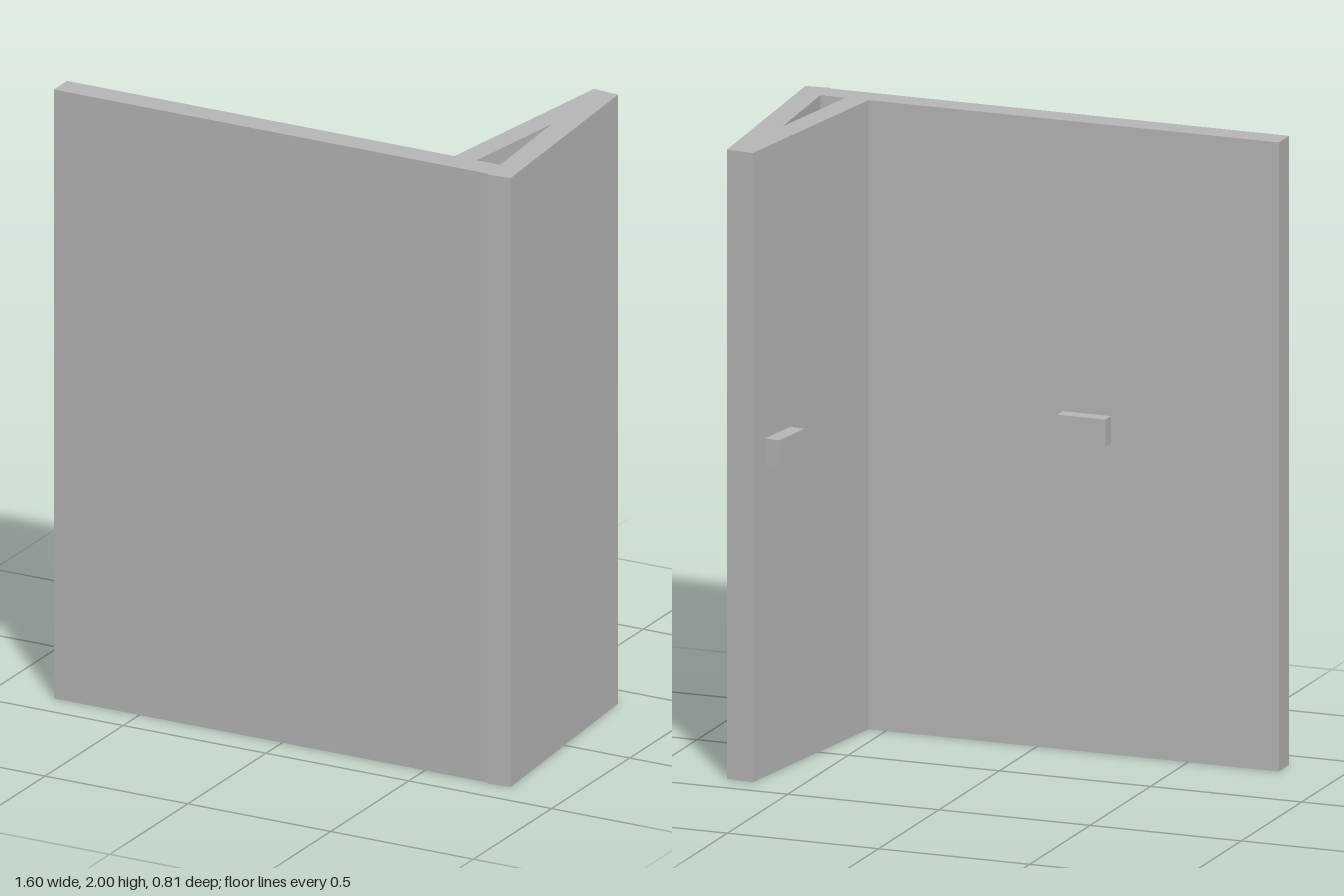
import * as THREE from 'three';

const grey = new THREE.MeshStandardMaterial({ color: 0xb8b8b8 });

// Plan points are [x, z]; the shape is drawn in x, -z and stood upright.
const toPlan = (points) => points.map(([x, z]) => new THREE.Vector2(x, -z));

function upright(name, plan, bottom, top, hole) {
  const shape = new THREE.Shape(toPlan(plan));
  if (hole) shape.holes.push(new THREE.Path(toPlan(hole)));
  const geometry = new THREE.ExtrudeGeometry(shape, { depth: top - bottom, bevelEnabled: false });
  geometry.rotateX(-Math.PI / 2).translate(0, bottom, 0);
  const mesh = new THREE.Mesh(geometry, grey);
  mesh.name = name;
  return mesh;
}

export function createModel() {
  const model = new THREE.Group();
  model.name = 'anglePanel';

  // Wide panel joined to a tapered side wall with a triangular channel
  model.add(upright('panels', [
    [-0.8, 0.396], [0.72, 0.396], [0.722, 0.403], [0.8, 0.397],
    [0.742, -0.398], [0.653, -0.406], [0.557, 0.311], [-0.8, 0.311],
  ], 0, 2, [[0.634, 0.311], [0.686, -0.08], [0.716, 0.311]]));

  // Small blocks on the inner faces
  model.add(upright('wideBlock', [
    [-0.245, 0.311], [-0.085, 0.311], [-0.085, 0.266], [-0.245, 0.266],
  ], 0.99, 1.075));
  model.add(upright('sideBlock', [
    [0.573, -0.179], [0.623, -0.172], [0.643, -0.329], [0.594, -0.336],
  ], 0.99, 1.075));

  return model;
}
